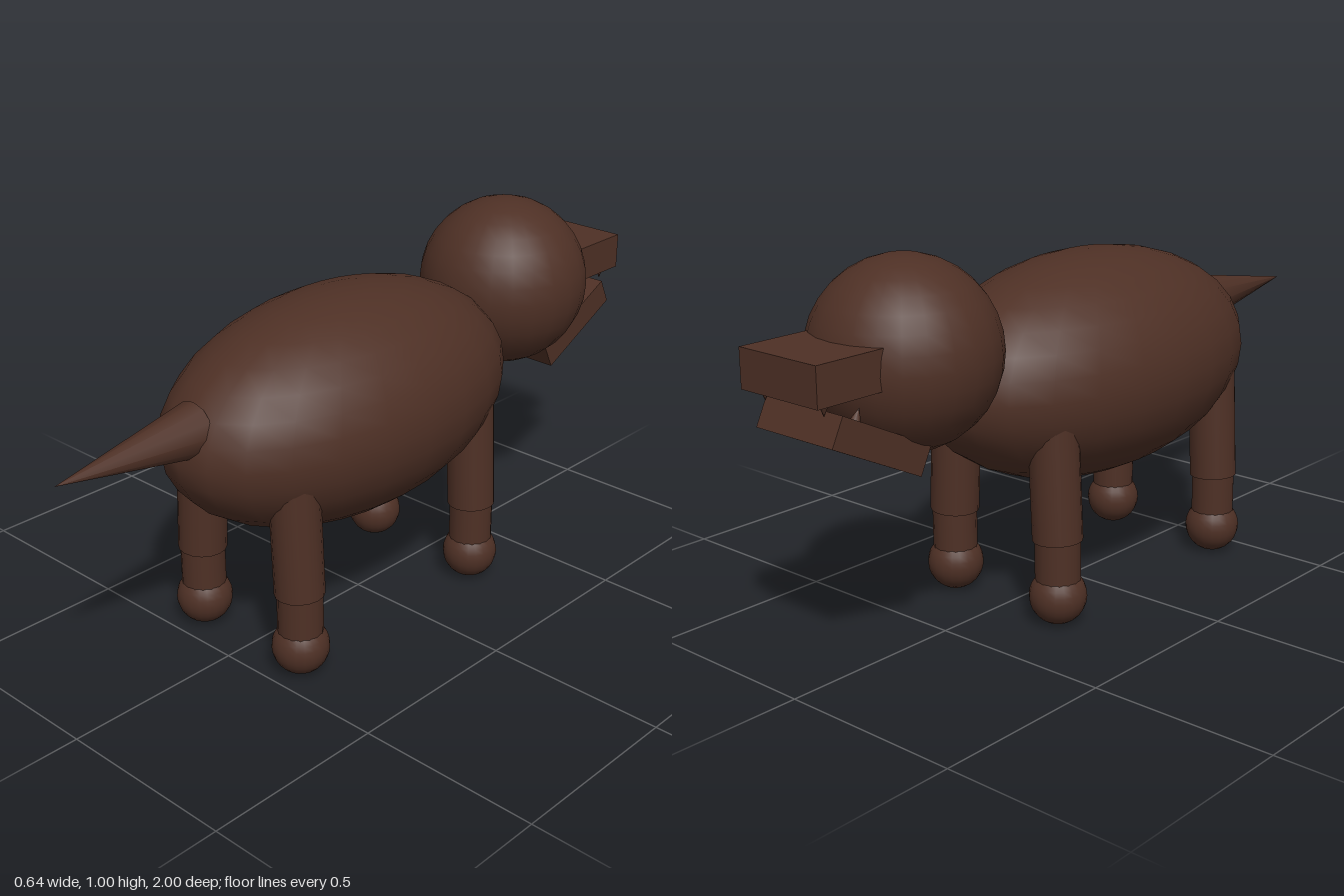
import * as THREE from 'three';

export function createModel() {
  const model = new THREE.Group();
  model.name = 'dog';
  const brown = new THREE.MeshStandardMaterial({ color: 0x4e3025 });
  brown.name = 'darkBrown';

  const add = (name, geometry, x, y, z, parent = model) => {
    const mesh = new THREE.Mesh(geometry, brown);
    mesh.name = name;
    mesh.position.set(x, y, z);
    parent.add(mesh);
    return mesh;
  };

  // Body and head
  add('body', new THREE.SphereGeometry(1, 24, 16), 0, 0.61, 0.07).scale.set(0.322, 0.303, 0.57);
  add('head', new THREE.SphereGeometry(0.241, 24, 16), 0, 0.762, -0.613);

  // Tail, a cone pointing along +z
  add('tail', new THREE.ConeGeometry(0.072, 0.42, 12), 0, 0.688, 0.79).rotation.x = Math.PI / 2;

  // Muzzle and open lower jaw
  add('upperJaw', new THREE.BoxGeometry(0.26, 0.1, 0.2), 0, 0.78, -0.9);
  const jaw = new THREE.Group();
  jaw.name = 'lowerJaw';
  jaw.position.set(0, 0.6, -0.812);
  jaw.rotation.x = 0.46;
  model.add(jaw);
  add('jawPlate', new THREE.BoxGeometry(0.26, 0.078, 0.3), 0, 0, 0, jaw);

  for (const side of [-1, 1]) {
    // Small fangs
    add('upperFang', new THREE.ConeGeometry(0.014, 0.035, 8), side * 0.1, 0.716, -0.957).rotation.x = Math.PI;
    add('lowerFang', new THREE.ConeGeometry(0.014, 0.035, 8), side * 0.1, 0.053, -0.08, jaw);

    // Legs: tilted thigh, straight shin and round paw
    for (const [label, z] of [['front', -0.27], ['rear', 0.413]]) {
      const leg = new THREE.Group();
      leg.name = label + (side > 0 ? 'LeftLeg' : 'RightLeg');
      leg.position.set(side * 0.184, 0, z);
      model.add(leg);
      add('thigh', new THREE.CylinderGeometry(0.066, 0.066, 0.37, 16), side * -0.009, 0.415, 0, leg)
        .rotation.z = side * 0.045;
      add('shin', new THREE.CylinderGeometry(0.06, 0.06, 0.18, 16), 0, 0.17, 0, leg);
      add('paw', new THREE.SphereGeometry(0.076, 20, 14), 0, 0.077, 0, leg);
    }
  }
  return model;
}
